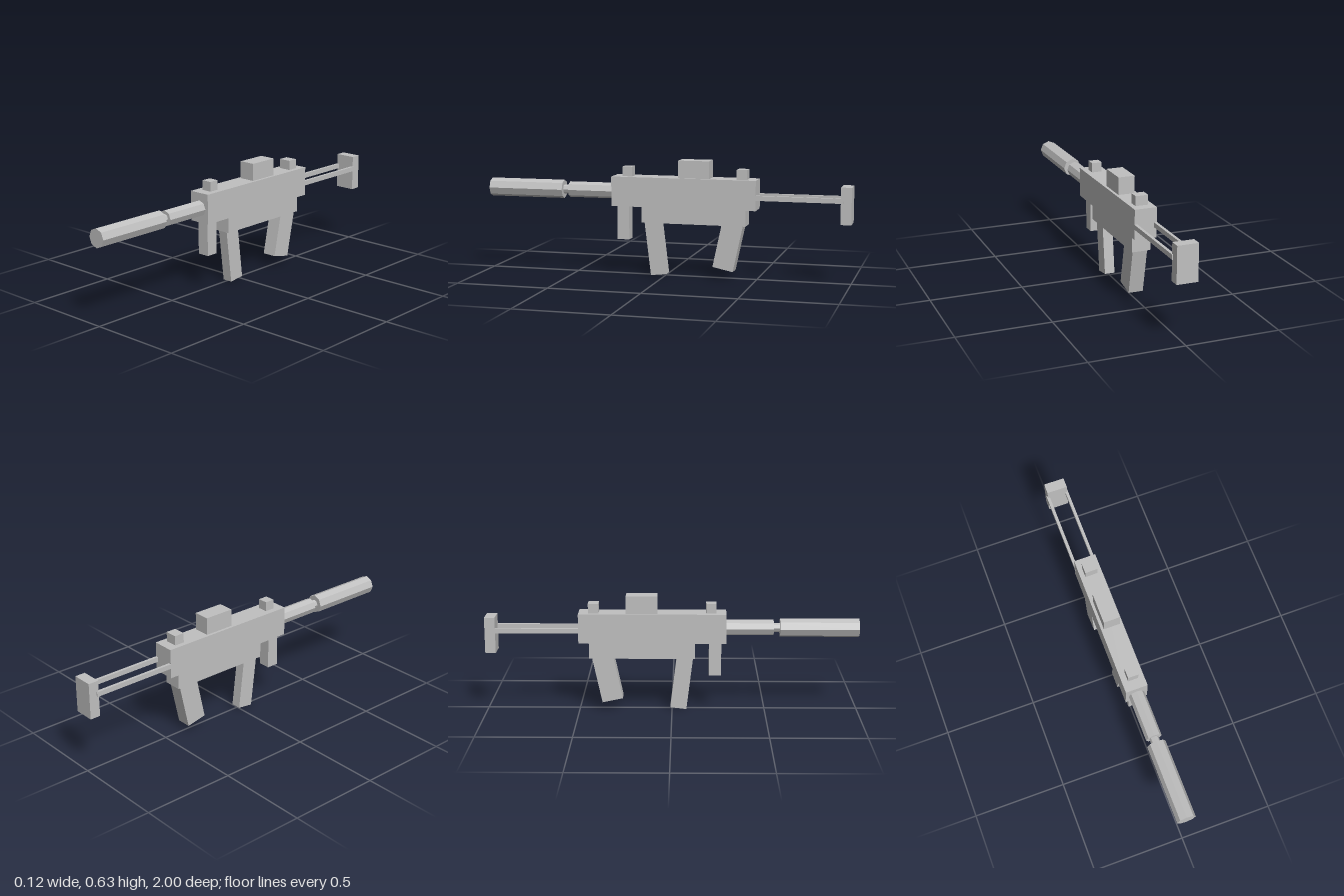
import * as THREE from 'three';

export function createModel() {
  const model = new THREE.Group();
  const grey = new THREE.MeshStandardMaterial({ color: 0xc0c0c0, flatShading: true });
  grey.name = 'light grey';

  const add = (name, geometry) => {
    const mesh = new THREE.Mesh(geometry, grey);
    mesh.name = name;
    model.add(mesh);
    return mesh;
  };

  // Box centred on x, given by its width and its y and z ranges
  const block = (name, width, y0, y1, z0, z1, x = 0) => {
    const mesh = add(name, new THREE.BoxGeometry(width, y1 - y0, z1 - z0));
    mesh.position.set(x, (y0 + y1) / 2, (z0 + z1) / 2);
    return mesh;
  };

  // Eight-sided rod along z on the barrel axis
  const rod = (name, radius, z0, z1) => {
    const mesh = add(name, new THREE.CylinderGeometry(radius, radius, z1 - z0, 8).rotateX(Math.PI / 2));
    mesh.position.set(0, 0.4525, (z0 + z1) / 2);
  };

  // Slanted box hung from its bottom centre
  const slanted = (name, width, length, depth, y, z, degrees) => {
    const mesh = add(name, new THREE.BoxGeometry(width, length, depth).translate(0, length / 2, 0));
    mesh.position.set(0, y, z);
    mesh.rotation.x = THREE.MathUtils.degToRad(degrees);
  };

  // Body
  block('receiver', 0.12, 0.376, 0.536, -0.5, 0.29);
  block('lowerReceiver', 0.1, 0.29, 0.376, -0.445, 0.123);

  // Top fittings
  block('frontSight', 0.056, 0.536, 0.588, 0.182, 0.236);
  block('rearSight', 0.068, 0.536, 0.588, -0.448, -0.392);
  block('scopeBlock', 0.09, 0.536, 0.63, -0.246, -0.078);

  // Grips and magazine
  block('foregrip', 0.066, 0.192, 0.376, 0.198, 0.264);
  slanted('magazine', 0.056, 0.32, 0.088, 0.006, 0.034, 7);
  slanted('rearGrip', 0.08, 0.28, 0.113, 0.053, -0.321, -12);

  // Barrel
  rod('barrel', 0.043, 0.28, 0.543);
  rod('barrelNeck', 0.025, 0.53, 0.59);
  rod('muzzleTube', 0.0505, 0.577, 1);

  // Stock
  for (const side of [-1, 1]) {
    block(side < 0 ? 'rightStockRod' : 'leftStockRod', 0.016, 0.431, 0.457, -0.957, -0.49, side * 0.053);
  }
  block('buttPlate', 0.112, 0.32, 0.515, -1, -0.944);

  return model;
}
